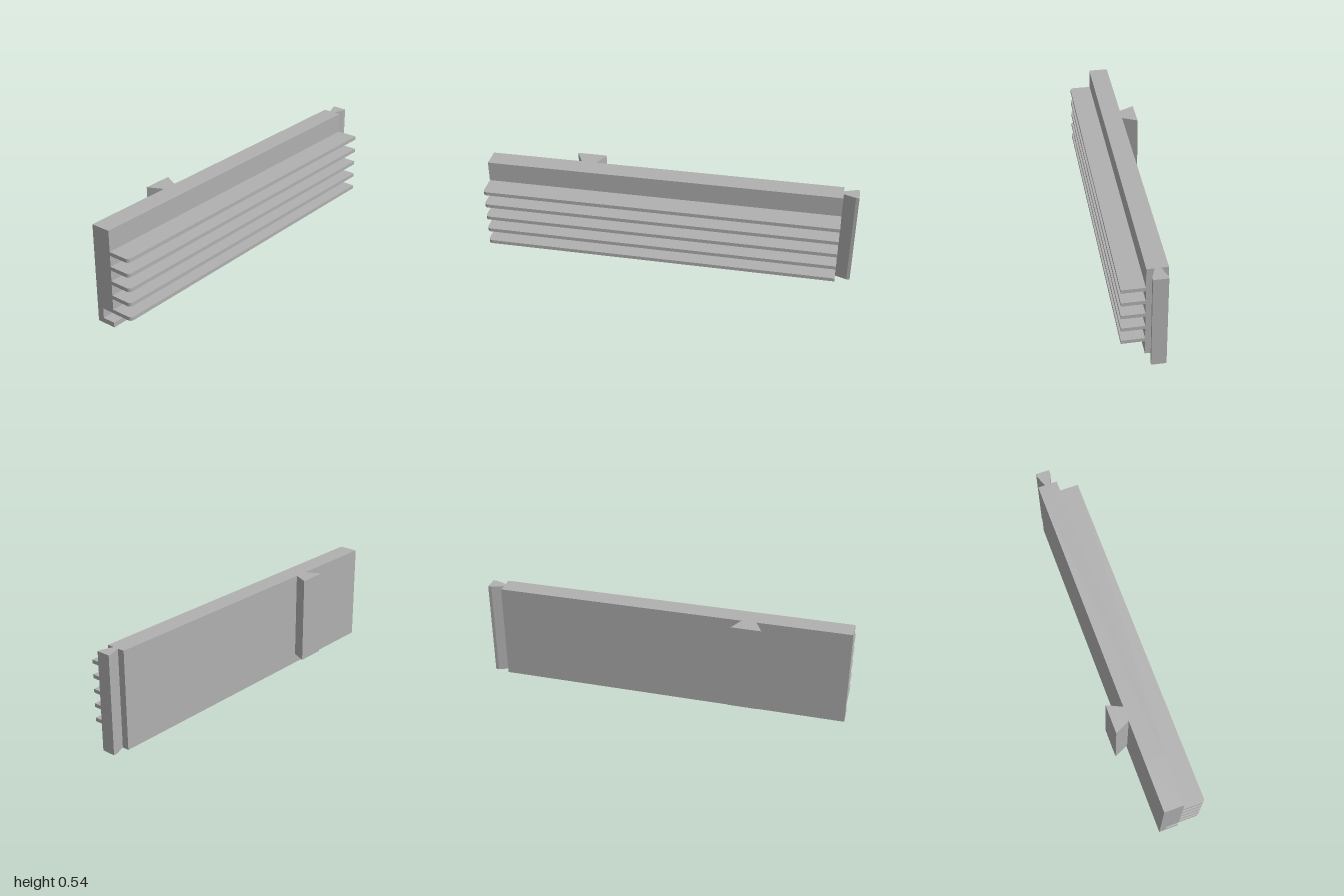
import * as THREE from 'three';

const grey = new THREE.MeshStandardMaterial({ color: 0xb0b0b0 });
grey.name = 'plain grey';

// Vertical prism from a plan outline drawn in (x, -z)
function prism(name, shape, y0, y1) {
  const geo = new THREE.ExtrudeGeometry(shape, { depth: y1 - y0, bevelEnabled: false, curveSegments: 8 });
  geo.rotateX(-Math.PI / 2).translate(0, y0, 0);
  const mesh = new THREE.Mesh(geo, grey);
  mesh.name = name;
  return mesh;
}

const outline = (points) => new THREE.Shape(points.map(([x, z]) => new THREE.Vector2(x, -z)));

// Length of bar along z from a cross-section in (x, y)
function bar(name, points, z0, z1) {
  const shape = new THREE.Shape(points.map(([x, y]) => new THREE.Vector2(x, y)));
  const geo = new THREE.ExtrudeGeometry(shape, { depth: z1 - z0, bevelEnabled: false });
  geo.translate(0, 0, z0);
  const mesh = new THREE.Mesh(geo, grey);
  mesh.name = name;
  return mesh;
}

export function createModel() {
  const model = new THREE.Group();
  model.name = 'finnedRail';

  const left = -0.073, right = 0.034, top = 0.535, back = -0.918, front = 1;
  const pocketEnd = 0.727;

  // Main wall, with a corner pocket at the front end
  model.add(bar('wall', [[left, 0], [right, 0], [right, top], [left, top]], back, pocketEnd));
  model.add(bar('pocketedWallEnd', [
    [left, 0], [right, 0], [right, 0.027], [-0.037, 0.027],
    [-0.037, 0.082], [right, 0.082], [right, top], [left, top],
  ], pocketEnd, front));

  // Five shelves with a rounded front outer corner
  const tip = 0.154, r = 0.02;
  for (let i = 0; i < 5; i++) {
    const s = new THREE.Shape();
    s.moveTo(right, -front);
    s.lineTo(tip - r, -front);
    s.absarc(tip - r, -front + r, r, -Math.PI / 2, 0, false);
    s.lineTo(tip, -back);
    s.lineTo(right, -back);
    s.closePath();
    const y = 0.082 + i * 0.08;
    model.add(prism('shelf' + (i + 1), s, y, y + 0.02));
  }

  // Dovetail on the back end
  model.add(prism('backDovetail', outline([
    [-0.034, back], [-0.005, back], [0.018, -0.982], [0.018, -1],
    [-0.058, -1], [-0.058, -0.982],
  ]), 0, top));

  // Dovetail on the plain side, stopping short of the bottom
  model.add(prism('sideDovetail', outline([
    [left, 0.422], [-0.155, 0.382], [-0.155, 0.542], [left, 0.502],
  ]), 0.055, top));

  return model;
}
